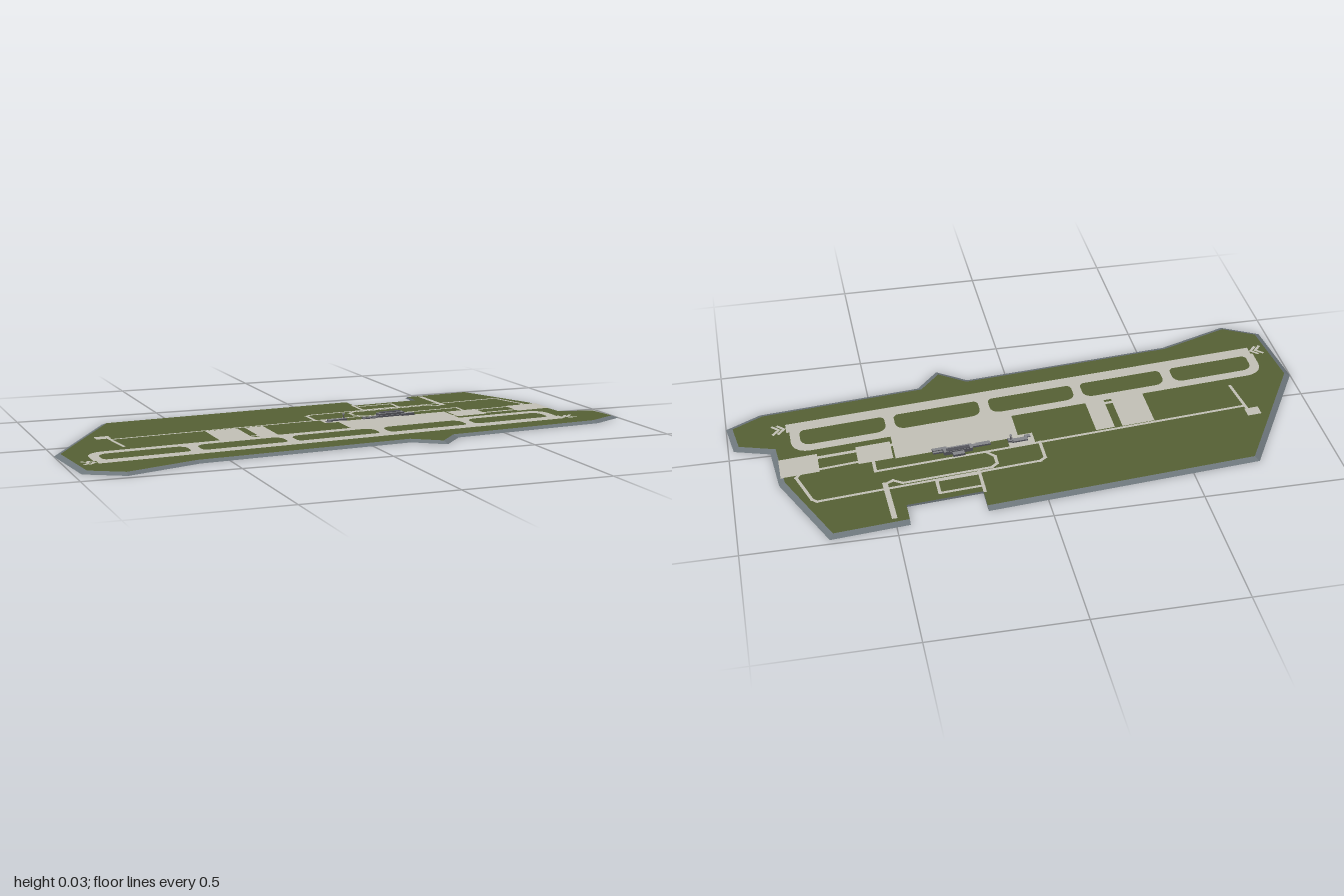
import * as THREE from 'three';
import { mergeGeometries } from 'three/addons/utils/BufferGeometryUtils.js';

const mat = (name, color) => {
  const m = new THREE.MeshStandardMaterial({ color, side: THREE.DoubleSide });
  m.name = name;
  return m;
};

const SLOPE = 0.09;   // the whole field is skewed relative to x
const TOP = 0.008;    // height of the grass
const LIFT = 0.0008;  // paving above or below the grass

// Field coordinates (x along the runway, v across it) to x, z
const field = ([x, v]) => [x, v - SLOPE * x];

const toShape = (pts) => new THREE.Shape(pts.map(([x, z]) => new THREE.Vector2(x, -z)));

function flat(pts, y, holes = []) {
  const shape = toShape(pts);
  shape.holes = holes.map(toShape);
  return new THREE.ShapeGeometry(shape).rotateX(-Math.PI / 2).translate(0, y, 0);
}

// Rectangle in field coordinates with corner radii [far, near]
function rounded(x0, v0, x1, v1, rFar = 0, rNear = 0) {
  const pts = [];
  const corner = (cx, cv, r, start) => {
    const n = r ? 5 : 0;
    for (let i = 0; i <= n; i++) {
      const a = start + (n ? (i / n) * Math.PI / 2 : 0);
      pts.push(field([cx + r * Math.cos(a), cv + r * Math.sin(a)]));
    }
  };
  corner(x0 + rFar, v0 + rFar, rFar, Math.PI);
  corner(x1 - rFar, v0 + rFar, rFar, Math.PI * 1.5);
  corner(x1 - rNear, v1 - rNear, rNear, 0);
  corner(x0 + rNear, v1 - rNear, rNear, Math.PI / 2);
  return pts;
}

// Strip of constant width along a polyline of x, z points
function strip(pts, w, y) {
  const parts = [];
  for (let i = 0; i < pts.length - 1; i++) {
    const [ax, az] = pts[i], [bx, bz] = pts[i + 1];
    const len = Math.hypot(bx - ax, bz - az);
    const dx = (bx - ax) / len * w / 2, dz = (bz - az) / len * w / 2;
    parts.push(flat([
      [ax - dx - dz, az - dz + dx], [bx + dx - dz, bz + dz + dx],
      [bx + dx + dz, bz + dz - dx], [ax - dx + dz, az - dz - dx],
    ], y));
  }
  return mergeGeometries(parts);
}

// Move every edge of the outline inward by its own distance
function inset(pts, dist) {
  const n = pts.length;
  const edge = (i) => {
    const a = pts[i], b = pts[(i + 1) % n];
    const l = Math.hypot(b[0] - a[0], b[1] - a[1]);
    return [-(b[1] - a[1]) / l, (b[0] - a[0]) / l, dist(i)];
  };
  return pts.map((p, i) => {
    const [ax, az, da] = edge((i + n - 1) % n), [bx, bz, db] = edge(i);
    const det = ax * bz - az * bx;
    return [p[0] + (da * bz - db * az) / det, p[1] + (ax * db - bx * da) / det];
  });
}

export function createModel() {
  const grass = mat('grass green', 0x566134);
  const bank = mat('bank grey', 0x6e777c);
  const paving = mat('paving grey', 0xc2c0b6);
  const wall = mat('building dark grey', 0x55555c);
  const roof = mat('roof grey', 0x85868a);

  const model = new THREE.Group();
  const add = (name, geo, m, parent = model) => {
    const mesh = new THREE.Mesh(geo, m);
    mesh.name = name;
    parent.add(mesh);
    return mesh;
  };

  // Ground: grass plateau with a sloping bank, upright only in the back notch
  const outline = [
    [-0.735, -0.35], [0.2, -0.435], [0.2, -0.34], [0.455, -0.362], [0.455, -0.455],
    [0.715, -0.48], [0.848, -0.17], [0.862, 0.01], [0.982, 0.048], [1, 0.18],
    [0.88, 0.245], [0.32, 0.3], [0.24, 0.39], [0.14, 0.318], [-0.6, 0.385],
    [-0.85, 0.475], [-0.975, 0.405], [-1, 0.12],
  ];
  const rim = inset(outline, (i) => (i >= 1 && i <= 3 ? 0 : 0.02));
  add('grass', flat(rim, TOP), grass);
  const verts = [];
  outline.forEach((a, i) => {
    const j = (i + 1) % outline.length, b = outline[j];
    const a0 = [a[0], 0, a[1]], b0 = [b[0], 0, b[1]];
    const a1 = [rim[i][0], TOP, rim[i][1]], b1 = [rim[j][0], TOP, rim[j][1]];
    verts.push(...a0, ...a1, ...b1, ...a0, ...b1, ...b0);
  });
  const bankGeo = new THREE.BufferGeometry();
  bankGeo.setAttribute('position', new THREE.Float32BufferAttribute(verts, 3));
  bankGeo.computeVertexNormals();
  add('bank', bankGeo, bank);

  // Taxiway, apron and the eastern stands, also showing on the underside
  const holes = [[-0.875, -0.58], [-0.543, -0.243], [-0.21, 0.094], [0.13, 0.43], [0.463, 0.757]];
  const taxiHoles = holes.map(([a, b]) => rounded(a, 0.096, b, 0.184, 0.034, 0.022));
  for (const [side, y, near] of [['', TOP + LIFT, 0.19], ['Underside', TOP - LIFT, 0.184001]]) {
    add('taxiway' + side, flat(rounded(-0.908, 0.06, 0.79, near, 0.06), y, taxiHoles), paving);
    add('apron' + side, flat(rounded(0.03, -0.066, 0.455, 0.07), y), paving);
    add('eastStand' + side, flat(rounded(0.462, -0.062, 0.58, 0.034), y), paving);
    add('endStand' + side, flat(rounded(0.71, -0.066, 0.84, 0.034), y), paving);
  }
  const Y = TOP + LIFT;
  add('apronLink', flat(rounded(0.45, 0.005, 0.72, 0.02), Y), paving);

  // Runway with chevrons past both ends
  add('runway', flat(rounded(-0.9, 0.182, 0.8, 0.231), Y), paving);
  for (const [x, dir] of [[-0.9, 1], [0.8, -1]]) {
    for (let i = 0; i < 2; i++) {
      const s = x - dir * (0.014 + i * 0.018);
      const pts = [[s - dir * 0.012, 0.185], [s + dir * 0.008, 0.2065], [s - dir * 0.012, 0.228]];
      add('chevron', strip(pts.map(field), 0.01, Y), paving);
    }
  }

  // Western stands and small pads
  add('westStand', flat(rounded(-0.448, -0.106, -0.332, 0.065), Y), paving);
  add('westStandNarrow', flat(rounded(-0.305, -0.104, -0.238, 0.065), Y), paving);
  add('standLink', flat(rounded(-0.34, 0.035, -0.3, 0.048), Y), paving);
  add('farPad', flat(rounded(-0.822, -0.172, -0.772, -0.13), Y), paving);
  add('towerPad', flat(rounded(-0.02, -0.112, 0.07, -0.055), Y), paving);

  // Service roads
  const roads = [
    [[-0.77, -0.043], [0.53, -0.165], [0.53, -0.108]],
    [[-0.785, -0.09], [-0.765, 0.085]],
    [[-0.035, -0.11], [-0.035, -0.2], [-0.015, -0.215], [0.735, -0.288], [0.75, -0.275],
      [0.79, -0.15], [0.77, -0.12]],
    [[0.15, -0.135], [0.128, -0.16], [0.128, -0.2], [0.15, -0.218], [0.45, -0.245],
      [0.48, -0.225], [0.508, -0.24], [0.5, -0.415]],
    [[0.195, -0.34], [0.195, -0.225]],
    [[0.195, -0.31], [0.34, -0.322], [0.34, -0.255], [0.195, -0.243]],
    [[0.57, -0.1], [0.72, -0.118]],
  ];
  roads.forEach((r) => add('road', strip(r, 0.011, Y), paving));
  add('northRoad', strip([[0.502, -0.415], [0.508, -0.24]], 0.018, Y), paving);

  // Buildings, turned to line up with the runway
  const buildings = new THREE.Group();
  buildings.name = 'buildings';
  model.add(buildings);
  const building = (name, x, v, w, d, top, roofMat = roof) => {
    const base = TOP - 0.002, h = top - base;
    const block = add(name, new THREE.BoxGeometry(w, h, d), [wall, wall, roofMat, wall, wall, wall], buildings);
    const [px, pz] = field([x, v]);
    block.position.set(px, base + h / 2, pz);
    block.rotation.y = Math.atan(SLOPE);
  };
  building('terminal', 0.23, -0.074, 0.2, 0.014, 0.014);
  building('terminalHall', 0.245, -0.084, 0.1, 0.026, 0.021);
  building('terminalUpperFloor', 0.245, -0.088, 0.08, 0.014, 0.024, wall);
  building('terminalBackWing', 0.245, -0.104, 0.04, 0.02, 0.017);
  building('westPier', 0.155, -0.066, 0.05, 0.01, 0.012);
  building('eastPier', 0.305, -0.066, 0.05, 0.014, 0.017);
  building('fireStation', 0.03, -0.085, 0.055, 0.018, 0.014);
  building('hut', 0.0, -0.07, 0.02, 0.014, 0.012);

  // Control tower: base, shaft and cab
  const [tx, tz] = field([0.06, -0.08]);
  building('towerBase', 0.06, -0.08, 0.02, 0.018, 0.015);
  const shaft = add('towerShaft', new THREE.CylinderGeometry(0.0025, 0.003, 0.018, 8), wall, buildings);
  shaft.position.set(tx, 0.018, tz);
  const cab = add('towerCab', new THREE.CylinderGeometry(0.005, 0.0035, 0.006, 8), roof, buildings);
  cab.position.set(tx, 0.03, tz);

  return model;
}
